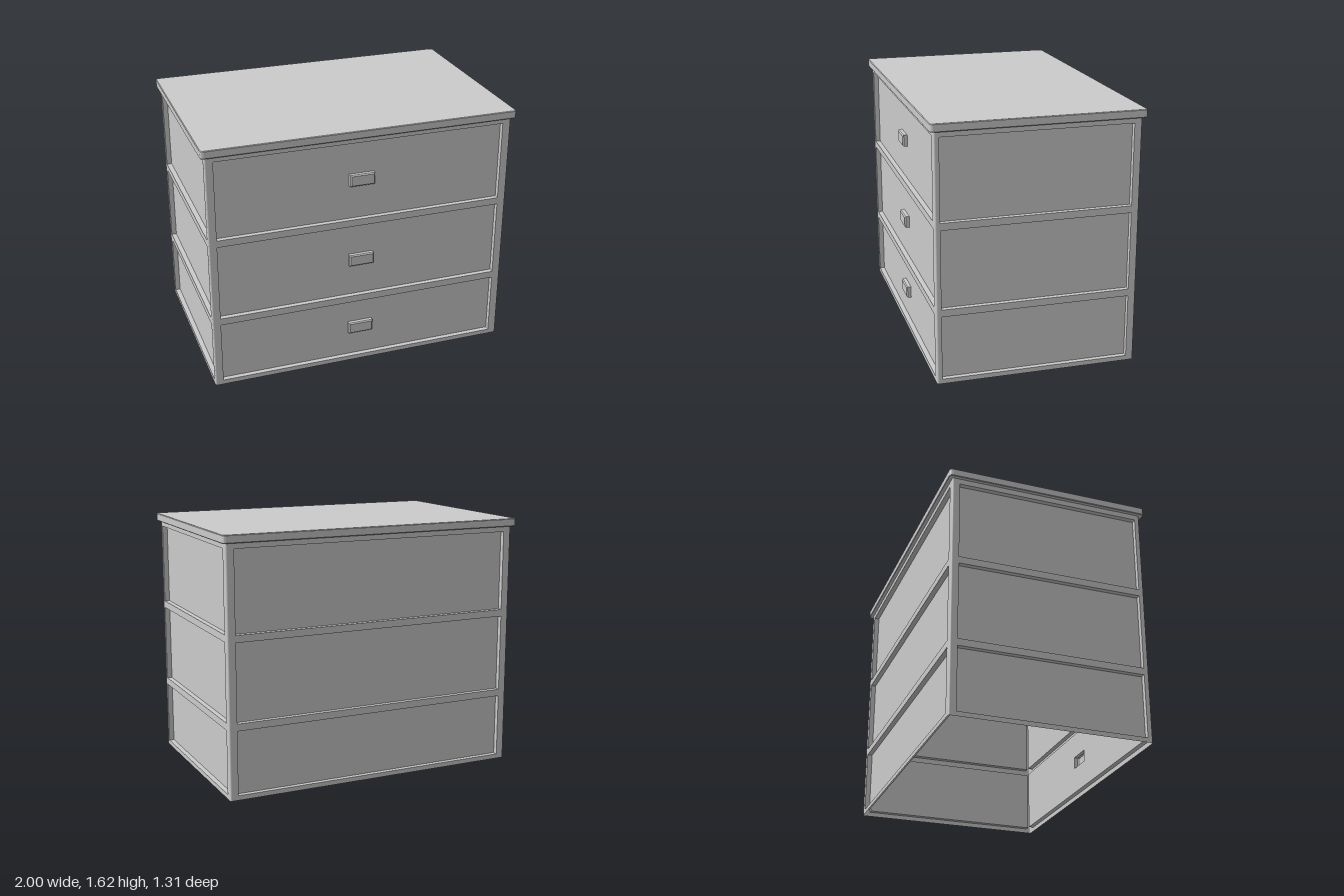
import * as THREE from 'three';

const material = new THREE.MeshStandardMaterial({ color: 0xcccccc, side: THREE.DoubleSide });

const HX = 0.975, HZ = 0.63, H = 1.565, R = 0.01; // body half sizes, height, corner radius
const RECESS = 0.032;
const ROWS = [[0.03, 0.435], [0.48, 0.975], [1.02, 1.53]]; // drawer openings, bottom and top
const HANDLE_Y = [0.235, 0.73, 1.28];

const mesh = (geometry, name) => {
  const m = new THREE.Mesh(geometry, material);
  m.name = name;
  return m;
};

// Rectangle corner points, counter-clockwise
const rect = (x0, x1, y0, y1) => [[x0, y0], [x1, y0], [x1, y1], [x0, y1]];

// Centred rectangle with rounded corners
function roundRect(hx, hy, r) {
  const points = [];
  for (let q = 0; q < 4; q++) {
    const sx = q === 0 || q === 3 ? 1 : -1, sy = q < 2 ? 1 : -1;
    for (let i = 0; i <= 3; i++) {
      const a = (q + i / 3) * Math.PI / 2;
      points.push([sx * (hx - r) + r * Math.cos(a), sy * (hy - r) + r * Math.sin(a)]);
    }
  }
  return points;
}

// Flat-shaded skin through stacked [points, z] loops, optionally capped at the end
function loft(loops, cap) {
  const v = [];
  const put = (loop, i) => v.push(...loop[0][i], loop[1]);
  for (let k = 0; k < loops.length - 1; k++) {
    const a = loops[k], b = loops[k + 1], n = a[0].length;
    for (let i = 0; i < n; i++) {
      const j = (i + 1) % n;
      put(a, i); put(a, j); put(b, j);
      put(a, i); put(b, j); put(b, i);
    }
  }
  if (cap) {
    const last = loops[loops.length - 1];
    for (let i = 1; i < last[0].length - 1; i++) {
      put(last, 0); put(last, i); put(last, i + 1);
    }
  }
  const g = new THREE.BufferGeometry();
  g.setAttribute('position', new THREE.Float32BufferAttribute(v, 3));
  g.computeVertexNormals();
  return g;
}

// Flat sheet with rectangular holes
function sheet(outline, holes) {
  const toVectors = (points) => points.map(([x, y]) => new THREE.Vector2(x, y));
  const shape = new THREE.Shape(toVectors(outline));
  for (const h of holes) shape.holes.push(new THREE.Path(toVectors(h).reverse()));
  return new THREE.ShapeGeometry(shape);
}

// One wall facing +z: frame, opening edges, sunken panels and optional handles
function buildWall(name, half, x0, x1, withHandles) {
  const wall = new THREE.Group();
  wall.name = name;
  const openings = ROWS.map(([y0, y1]) => rect(x0, x1, y0, y1));
  wall.add(mesh(sheet(rect(-half + R, half - R, 0, H), openings), 'frame'));
  openings.forEach((opening, i) => {
    wall.add(mesh(loft([[opening, 0], [opening, -RECESS]]), 'openingEdge'));
    const y = HANDLE_Y[i];
    const handleRect = (inset) => rect(-0.08 + inset, 0.08 - inset, y - 0.038 + inset, y + 0.038 - inset);
    const panel = mesh(sheet(opening, withHandles ? [handleRect(0)] : []), withHandles ? 'drawerFront' : 'panel');
    panel.position.z = -RECESS;
    wall.add(panel);
    if (withHandles) {
      wall.add(mesh(loft([
        [handleRect(0), -RECESS],
        [handleRect(0), -0.009],
        [handleRect(0.007), -0.002],
      ], true), 'handle'));
    }
  });
  return wall;
}

export function createModel() {
  const model = new THREE.Group();
  model.name = 'chestOfDrawers';

  // Four walls, open at the bottom
  const walls = [
    ['frontWall', HX, -0.923, 0.921, HZ, true],
    ['rightWall', HZ, -0.598, 0.582, HX, false],
    ['backWall', HX, -0.923, 0.923, HZ, false],
    ['leftWall', HZ, -0.582, 0.598, HX, false],
  ];
  walls.forEach(([name, half, x0, x1, distance, handles], i) => {
    const wall = buildWall(name, half, x0, x1, handles);
    const angle = i * Math.PI / 2;
    wall.rotation.y = angle;
    wall.position.set(Math.sin(angle) * distance, 0, Math.cos(angle) * distance);
    model.add(wall);
  });

  // Rounded vertical corners joining the walls
  for (let k = 0; k < 4; k++) {
    const corner = mesh(new THREE.CylinderGeometry(R, R, H, 4, 1, true, k * Math.PI / 2, Math.PI / 2), 'cornerPost');
    corner.position.set((k < 2 ? 1 : -1) * (HX - R), H / 2, (k === 0 || k === 3 ? 1 : -1) * (HZ - R));
    model.add(corner);
  }

  // Overhanging top
  const top = mesh(loft([
    [roundRect(HX, HZ, R), H],
    [roundRect(0.997, 0.652, 0.017), H],
    [roundRect(1, 0.655, 0.02), H + 0.004],
    [roundRect(1, 0.655, 0.02), H + 0.046],
    [roundRect(0.996, 0.651, 0.016), H + 0.05],
  ], true), 'top');
  top.rotation.x = -Math.PI / 2;
  model.add(top);

  return model;
}
